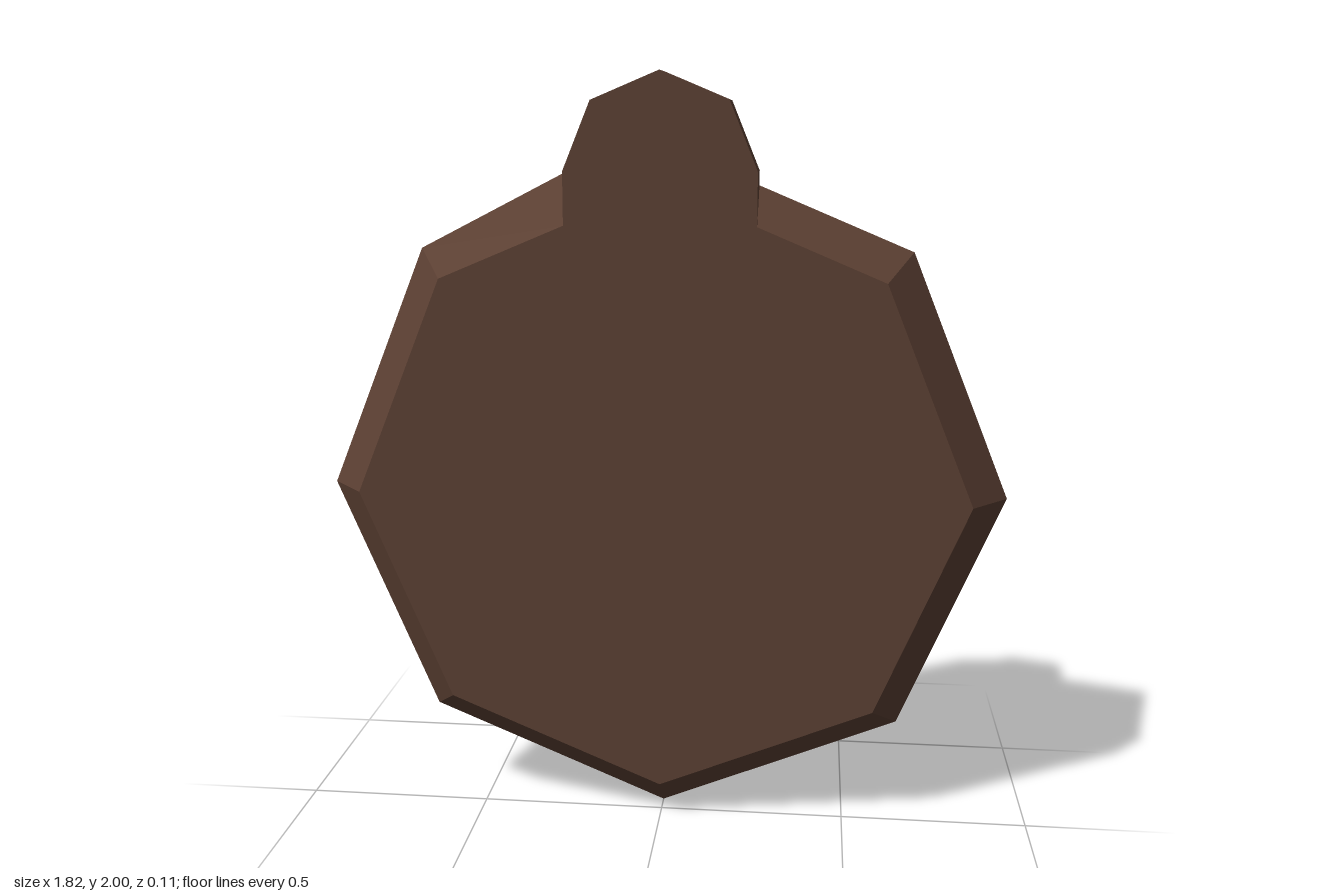
import * as THREE from 'three';

const HALF = 0.055;      // half thickness of the disc
const CY = 0.91;         // height of the disc centre
const KNOB_Y = 1.755;    // height of the knob centre
const KNOB_R = 0.245;

// Points on a regular octagon, from step i0 to step i1 (45 degrees each), counter-clockwise
function arc(cy, r, i0, i1) {
  const pts = [];
  for (let i = i0; i <= i1; i++) {
    const a = (i * Math.PI) / 4;
    pts.push(new THREE.Vector2(r * Math.cos(a), cy + r * Math.sin(a)));
  }
  return pts;
}

// Outline: knob over the top, then the neck, then the octagonal disc
function outline(radius, neckLeft, neckRight) {
  return [
    ...arc(KNOB_Y, KNOB_R, 0, 4),
    new THREE.Vector2(-KNOB_R, neckLeft),
    ...arc(CY, radius, 3, 9),
    new THREE.Vector2(KNOB_R, neckRight),
  ];
}

// Solid between a front outline and a back outline with matching points
function loft(front, back) {
  const pos = [];
  const put = (p, z) => pos.push(p.x, p.y, z);
  for (const [a, b, c] of THREE.ShapeUtils.triangulateShape(front, [])) {
    [a, b, c].forEach((i) => put(front[i], HALF));
  }
  for (const [a, b, c] of THREE.ShapeUtils.triangulateShape(back, [])) {
    [c, b, a].forEach((i) => put(back[i], -HALF));
  }
  for (let i = 0; i < front.length; i++) {
    const j = (i + 1) % front.length;
    put(front[i], HALF); put(back[i], -HALF); put(back[j], -HALF);
    put(front[i], HALF); put(back[j], -HALF); put(front[j], HALF);
  }
  const geo = new THREE.BufferGeometry();
  geo.setAttribute('position', new THREE.Float32BufferAttribute(pos, 3));
  geo.computeVertexNormals();
  return geo;
}

export function createModel() {
  const group = new THREE.Group();
  group.name = 'pendant';
  const brown = new THREE.MeshStandardMaterial({ color: 0x5c4033, flatShading: true });
  brown.name = 'darkBrown';

  // Bevelled octagonal disc with a straight-sided knob; the back edge meets the knob higher on one side
  const body = new THREE.Mesh(
    loft(outline(0.81, 1.62, 1.62), outline(0.908, KNOB_Y, 1.718)),
    brown
  );
  body.name = 'bevelledDiscWithKnob';
  group.add(body);
  return group;
}
